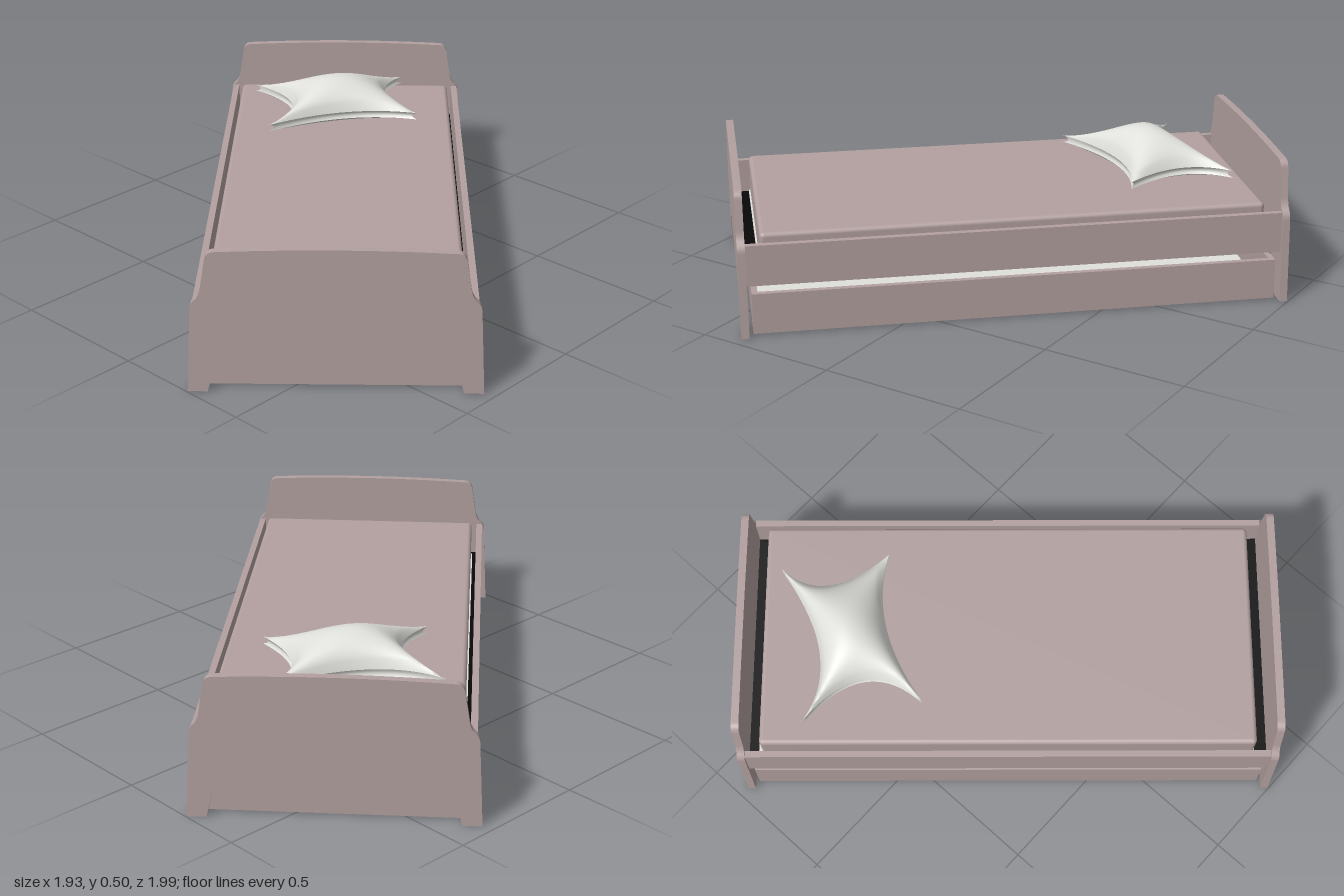
import * as THREE from 'three';
import { RoundedBoxGeometry } from 'three/addons/geometries/RoundedBoxGeometry.js';

export function createModel() {
  const material = (name, color) => {
    const m = new THREE.MeshStandardMaterial({ color });
    m.name = name;
    return m;
  };
  const wood = material('mauveWood', 0xb2a09f);
  const linen = material('whiteLinen', 0xe0e0dc);
  const black = material('blackBase', 0x080808);

  const model = new THREE.Group();
  model.name = 'singleBed';
  const bed = new THREE.Group();
  bed.name = 'bed';
  bed.rotation.y = 0.737; // the bed stands diagonally, its foot towards +x +z
  model.add(bed);

  const add = (name, geometry, mat, x = 0, y = 0, z = 0) => {
    const mesh = new THREE.Mesh(geometry, mat);
    mesh.name = name;
    mesh.position.set(x, y, z);
    bed.add(mesh);
    return mesh;
  };
  const box = (name, mat, w, y0, y1, l, x = 0, z = 0) =>
    add(name, new THREE.BoxGeometry(w, y1 - y0, l), mat, x, (y0 + y1) / 2, z);

  // End boards: stepped shoulders, gently arched top, arched cut-out between the legs
  const s = new THREE.Shape();
  s.moveTo(0.463, 0);
  s.lineTo(0.448, 0.29);
  s.quadraticCurveTo(0.447, 0.31, 0.433, 0.322);
  s.quadraticCurveTo(0.418, 0.335, 0.414, 0.36);
  s.lineTo(0.398, 0.46);
  s.quadraticCurveTo(0.394, 0.484, 0.37, 0.486);
  s.quadraticCurveTo(0, 0.504, -0.37, 0.486);
  s.quadraticCurveTo(-0.394, 0.484, -0.398, 0.46);
  s.lineTo(-0.414, 0.36);
  s.quadraticCurveTo(-0.418, 0.335, -0.433, 0.322);
  s.quadraticCurveTo(-0.447, 0.31, -0.448, 0.29);
  s.lineTo(-0.463, 0);
  s.lineTo(-0.4, 0);
  s.lineTo(-0.38, 0.08);
  s.quadraticCurveTo(-0.36, 0.14, -0.3, 0.143);
  s.quadraticCurveTo(0, 0.157, 0.3, 0.143);
  s.quadraticCurveTo(0.36, 0.14, 0.38, 0.08);
  s.lineTo(0.4, 0);
  const board = new THREE.ExtrudeGeometry(s, { depth: 0.026, bevelEnabled: false, curveSegments: 10 });
  add('footboard', board, wood, 0, 0, 0.899);
  add('headboard', board, wood, 0, 0, -0.925);

  // Side rails and the long walls of the under-bed drawer
  for (const side of [-1, 1]) {
    box('sideRail', wood, 0.022, 0.175, 0.315, 1.798, side * 0.429);
    box('drawerSide', wood, 0.02, 0.005, 0.145, 1.77, side * 0.427);
    box('drawerEnd', wood, 0.834, 0.005, 0.145, 0.02, 0, side * 0.875);
  }
  box('drawerBottom', linen, 0.834, 0.012, 0.022, 1.73);

  // Mattress on its base
  box('mattressBase', black, 0.836, 0.173, 0.195, 1.798);
  box('mattressSheet', linen, 0.81, 0.195, 0.205, 1.72, 0, -0.005);
  add('mattress', new RoundedBoxGeometry(0.8, 0.14, 1.7, 3, 0.015), wood, 0, 0.27, 0);

  // Pillow: a box mapped to a pinched four-cornered outline [s, t, x, z]
  const corners = [[-1, -1, -0.339, -0.7], [1, -1, 0.221, -0.79], [1, 1, 0.273, -0.416], [-1, 1, -0.267, -0.292]];
  const middles = [[0, -1, -0.088, -0.647], [1, 0, 0.158, -0.62], [0, 1, 0.008, -0.421], [-1, 0, -0.19, -0.494]];
  const pillow = new THREE.BoxGeometry(2, 2, 2, 24, 4, 24);
  const p = pillow.attributes.position;
  for (let i = 0; i < p.count; i++) {
    const h = p.getY(i);
    const pinch = 1 - 0.04 * (1 - h * h); // hollow seam around the edge
    const a = p.getX(i) * pinch, b = p.getZ(i) * pinch;
    let x = 0, z = 0;
    for (const [ca, cb, cx, cz] of corners) {
      const n = (1 + a * ca) * (1 + b * cb) * (a * ca + b * cb - 1) / 4;
      x += n * cx;
      z += n * cz;
    }
    for (const [ca, cb, cx, cz] of middles) {
      const n = ca === 0 ? (1 - a * a) * (1 + b * cb) / 2 : (1 - b * b) * (1 + a * ca) / 2;
      x += n * cx;
      z += n * cz;
    }
    const puff = Math.pow(Math.max(0, (1 - p.getX(i) ** 2) * (1 - p.getZ(i) ** 2)), 0.65);
    const top = 0.395 + 0.1 * puff, bottom = 0.37 - 0.029 * puff;
    p.setXYZ(i, x, bottom + (top - bottom) * (h + 1) / 2, z);
  }
  pillow.computeVertexNormals();
  add('pillow', pillow, linen);

  return model;
}
